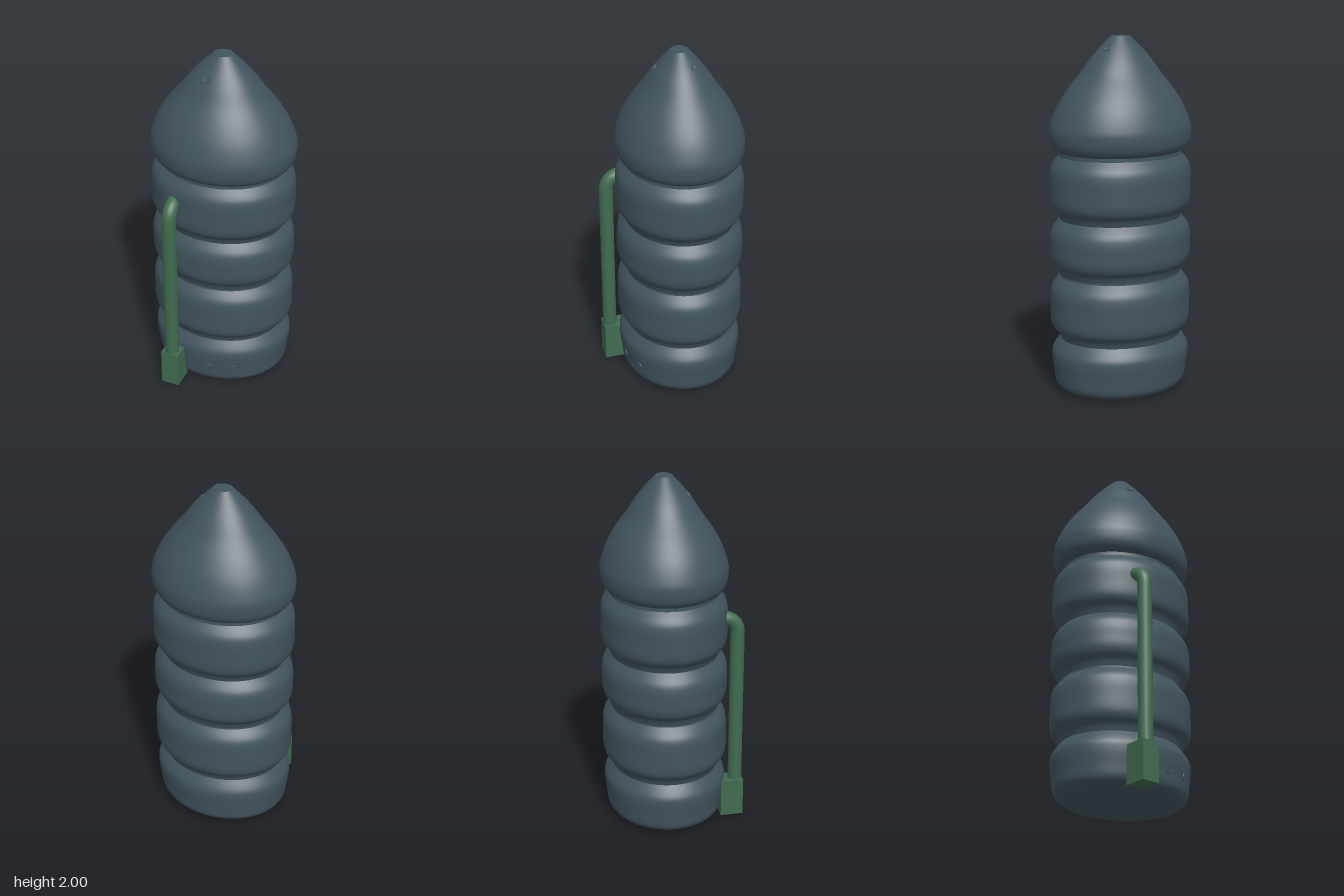
import * as THREE from 'three';

const DEPTH = 0.859;   // oval cross-section: z radius / x radius
const CENTRE_Z = -0.036;

const spline = (pts) => new THREE.SplineCurve(pts.map(([r, y]) => new THREE.Vector2(r, y)));

// Half profiles [radius, height], bottom to top, one per bulge
const base = spline([[0.28, 0], [0.345, 0.017], [0.383, 0.05], [0.395, 0.12], [0.405, 0.2], [0.398, 0.25], [0.355, 0.31]]);
const bulge = (bottom, top) => spline([
  [0.355, bottom], [0.37, bottom + 0.035], [0.398, bottom + 0.065], [0.411, bottom + 0.105],
  [0.412, (bottom + top) / 2], [0.411, top - 0.1], [0.397, top - 0.05], [0.355, top],
]);
const nose = spline([
  [0.355, 1.37], [0.385, 1.387], [0.405, 1.42], [0.412, 1.47], [0.406, 1.52], [0.37, 1.61],
  [0.313, 1.7], [0.24, 1.79], [0.18, 1.87], [0.12, 1.937], [0.055, 2],
]);

export function createModel() {
  const group = new THREE.Group();
  const slate = new THREE.MeshStandardMaterial({ color: 0x42545e });
  slate.name = 'slate';
  const green = new THREE.MeshStandardMaterial({ color: 0x416b50 });
  green.name = 'green';

  const add = (name, geometry, material) => {
    const mesh = new THREE.Mesh(geometry, material);
    mesh.name = name;
    group.add(mesh);
    return mesh;
  };

  // Oval body turned section by section, so the grooves between stay sharp
  const turned = (name, points) => {
    const geometry = new THREE.LatheGeometry(points, 96);
    geometry.scale(1, 1, DEPTH).translate(0, 0, CENTRE_Z);
    add(name, geometry, slate);
  };
  const line = (...pts) => pts.map(([r, y]) => new THREE.Vector2(r, y));
  turned('underside', line([0, 0], [0.28, 0]));
  turned('baseRing', base.getPoints(30));
  [[0.31, 0.67], [0.68, 0.995], [0.995, 1.35]].forEach(([bottom, top], i) =>
    turned(`bodyRing${i + 1}`, bulge(bottom, top).getPoints(32)));
  turned('lowerCollar', line([0.355, 0.67], [0.355, 0.68]));
  turned('noseCollar', line([0.355, 1.35], [0.355, 1.37]));
  turned('nose', nose.getPoints(50));
  turned('noseTip', line([0.055, 2], [0, 2]));

  // Small round ports lying on the skin at a given height and bearing
  const port = (name, curve, y, angle, radius) => {
    let t = 0;
    for (let i = 0; i <= 300; i++) {
      if (Math.abs(curve.getPoint(i / 300).y - y) < Math.abs(curve.getPoint(t).y - y)) t = i / 300;
    }
    const p = curve.getPoint(t);
    const tangent = curve.getTangent(t);
    const normal = new THREE.Vector3(
      Math.sin(angle) * tangent.y, -tangent.x, Math.cos(angle) * tangent.y / DEPTH).normalize();
    const rim = line([radius, -0.006], [radius, 0.003], [radius * 0.85, 0.004], [radius * 0.75, 0.0015], [0, 0.0015]);
    const mesh = add(name, new THREE.LatheGeometry(rim, 20), slate);
    mesh.position.set(p.x * Math.sin(angle), p.y, CENTRE_Z + p.x * Math.cos(angle) * DEPTH);
    mesh.quaternion.setFromUnitVectors(new THREE.Vector3(0, 1, 0), normal);
  };
  port('nosePort', nose, 1.895, -0.26, 0.022);
  port('rearNosePort', nose, 1.935, 1.98, 0.012);
  port('basePortInner', base, 0.13, 0.126, 0.023);
  port('basePortOuter', base, 0.13, 0.513, 0.023);

  // Outside pipe bending into the body, rising from a square foot
  const path = new THREE.CurvePath();
  const v = (y, z) => new THREE.Vector3(-0.155, y, z);
  path.add(new THREE.LineCurve3(v(0.1, 0.35), v(1.13, 0.35)));
  path.add(new THREE.CubicBezierCurve3(v(1.13, 0.35), v(1.18, 0.35), v(1.218, 0.315), v(1.218, 0.26)));
  path.add(new THREE.LineCurve3(v(1.218, 0.26), v(1.218, 0.16)));
  add('pipe', new THREE.TubeGeometry(path, 120, 0.04, 20), green);
  const foot = add('pipeFoot', new THREE.BoxGeometry(0.106, 0.22, 0.13), green);
  foot.position.set(-0.155, 0.11, 0.325);

  return group;
}
